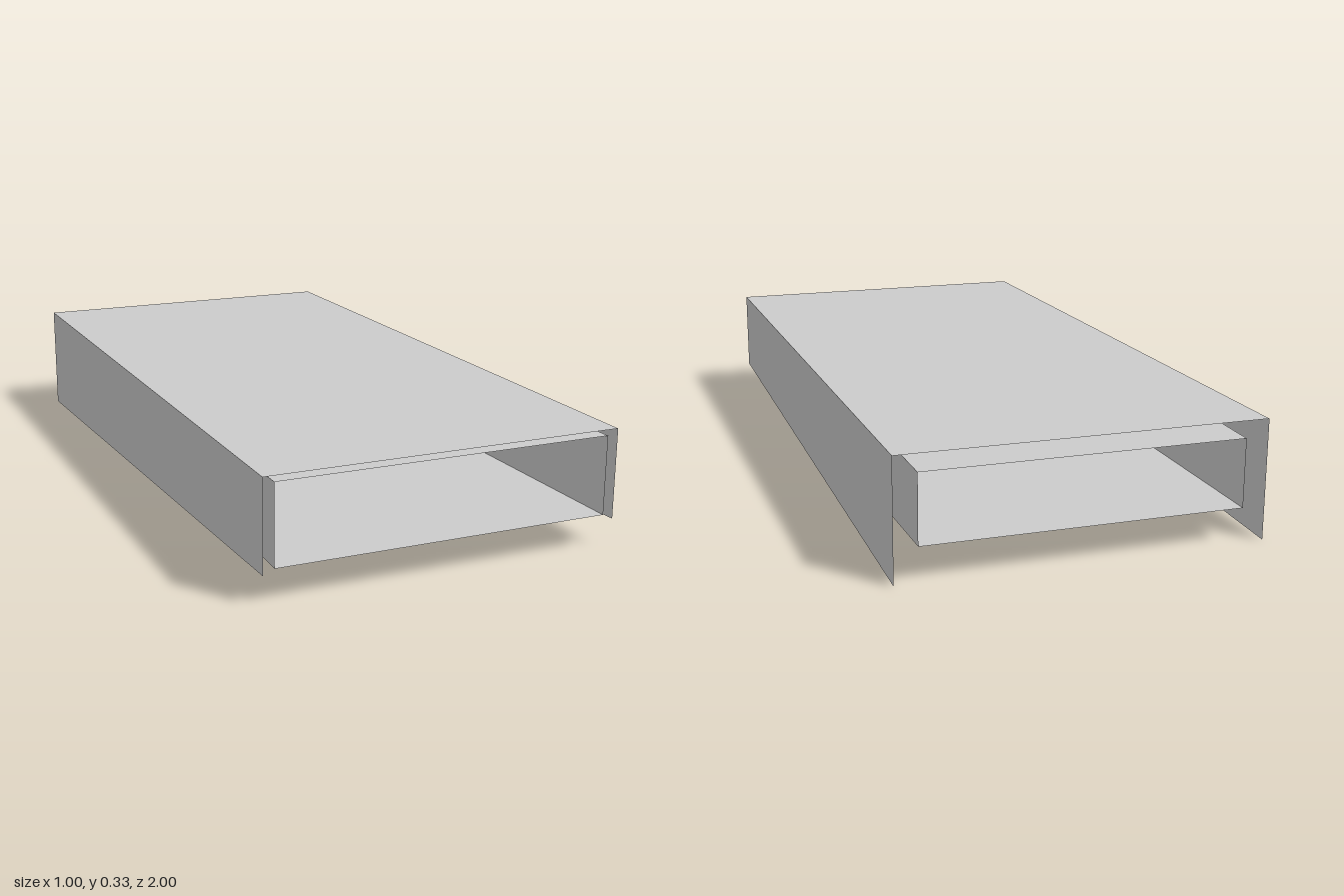
import * as THREE from 'three';

const material = new THREE.MeshStandardMaterial({
  color: 0xcccccc, flatShading: true, side: THREE.DoubleSide,
});

// Thin flat sheet from four corners, counter-clockwise seen from its front
function sheet(name, a, b, c, d) {
  const geometry = new THREE.BufferGeometry();
  geometry.setAttribute('position',
    new THREE.Float32BufferAttribute([a, b, c, a, c, d].flat(), 3));
  geometry.computeVertexNormals();
  const mesh = new THREE.Mesh(geometry, material);
  mesh.name = name;
  return mesh;
}

export function createModel() {
  const model = new THREE.Group();
  model.name = 'taperedSleeve';

  // Outer cover: flat top and two side skirts that deepen toward the back
  const cover = new THREE.Group();
  cover.name = 'outerCover';
  const W = 0.5, H = 0.33, frontHem = 0.08;
  cover.add(sheet('coverTop', [-W, H, 1], [W, H, 1], [W, H, -1], [-W, H, -1]));
  cover.add(sheet('leftSkirt', [W, frontHem, 1], [W, 0, -1], [W, H, -1], [W, H, 1]));
  cover.add(sheet('rightSkirt', [-W, 0, -1], [-W, frontHem, 1], [-W, H, 1], [-W, H, -1]));
  model.add(cover);

  // Inner duct: open at both ends, narrowing toward the back over a level floor
  const duct = new THREE.Group();
  duct.name = 'innerDuct';
  const ring = (w, top, z) => [
    [-w, 0.095, z], [w, 0.095, z], [w, top, z], [-w, top, z],
  ];
  const front = ring(0.47, 0.314, 1);
  const back = ring(0.4375, 0.283, -1);
  ['ductFloor', 'ductLeftWall', 'ductCeiling', 'ductRightWall'].forEach((name, i) => {
    const j = (i + 1) % 4;
    duct.add(sheet(name, front[i], back[i], back[j], front[j]));
  });
  model.add(duct);

  return model;
}
